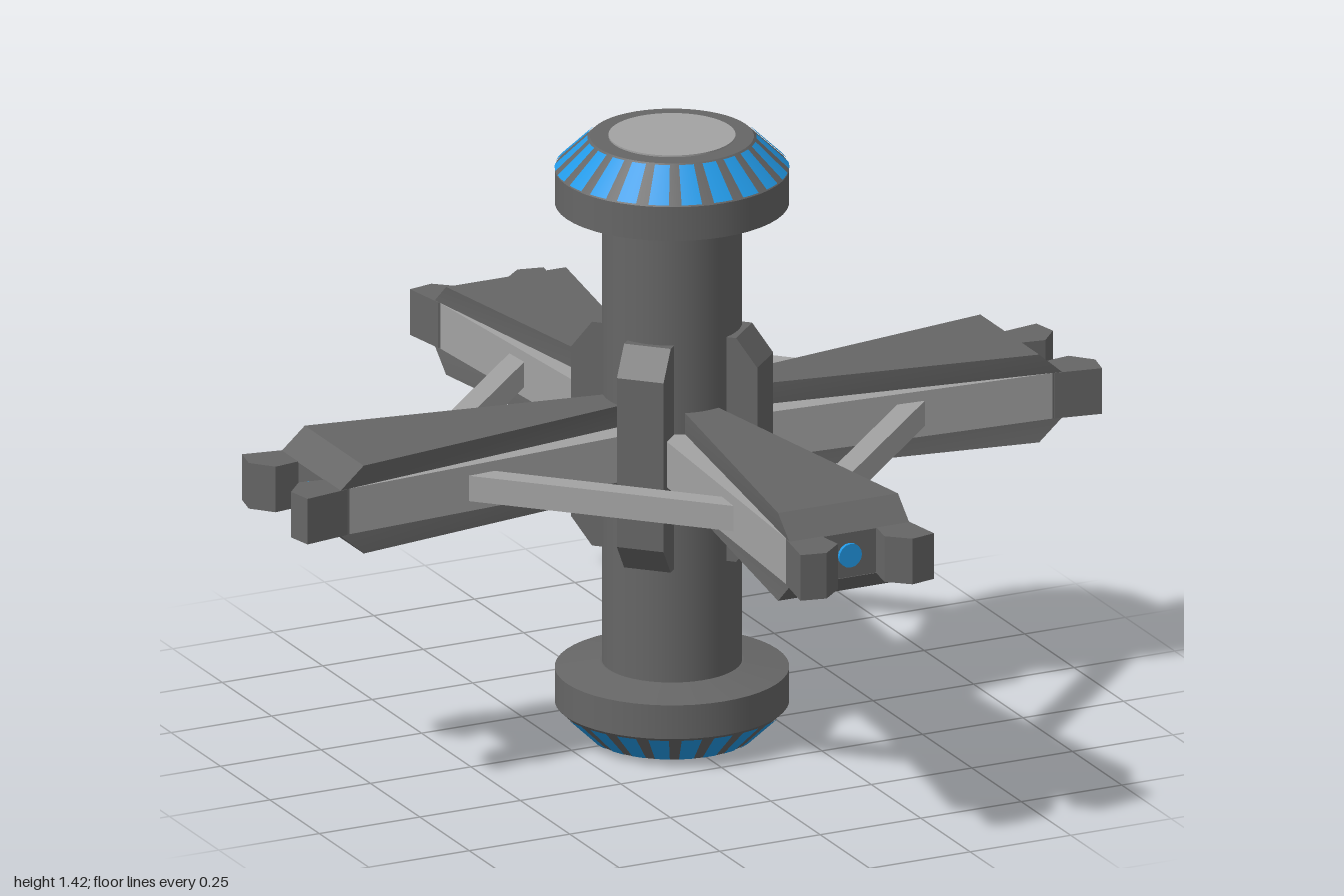
import * as THREE from 'three';

export function createModel() {
  const mat = (name, color) => {
    const m = new THREE.MeshStandardMaterial({ color });
    m.name = name;
    return m;
  };
  const dark = mat('dark grey', 0x666666);
  const light = mat('light grey', 0xa3a3a3);
  const blue = mat('blue', 0x2299e6);

  const model = new THREE.Group();
  model.name = 'station';
  const core = new THREE.Group();
  core.name = 'core';
  core.position.y = 0.71;
  model.add(core);

  const add = (parent, name, geo, material) => {
    const m = new THREE.Mesh(geo, material);
    m.name = name;
    parent.add(m);
    return m;
  };
  // Cylinder or cone section between two heights
  const section = (r0, y0, r1, y1, open = false, start = 0, sweep = Math.PI * 2, seg = 48) =>
    new THREE.CylinderGeometry(r1, r0, y1 - y0, seg, 1, open, start, sweep).translate(0, (y0 + y1) / 2, 0);
  // Plan outline of (sideways, outward) points, extruded to a height centred on y = 0
  const slab = (points, height) => {
    const shape = new THREE.Shape(points.map(([x, r]) => new THREE.Vector2(x, r)));
    return new THREE.ExtrudeGeometry(shape, { depth: height, bevelEnabled: false })
      .rotateX(Math.PI / 2).translate(0, height / 2, 0);
  };

  add(core, 'shaft', section(0.157, -0.6, 0.157, 0.6), dark);

  // Matching heads at both ends of the shaft
  for (const end of [0, 1]) {
    const head = new THREE.Group();
    head.name = end ? 'lowerHead' : 'upperHead';
    head.rotation.x = end * Math.PI;
    core.add(head);
    add(head, 'headUnderside', section(0.16, 0.533, 0.262, 0.55), dark);
    add(head, 'headRim', section(0.262, 0.55, 0.262, 0.63), dark);
    add(head, 'headCone', section(0.262, 0.63, 0.183, 0.706), dark);
    add(head, 'headPlate', section(0.142, 0.705, 0.142, 0.71), light);
    const count = 22, step = (Math.PI * 2) / count;
    for (let i = 0; i < count; i++) {
      add(head, 'window', section(0.262, 0.634, 0.189, 0.704, true, (i - 0.31) * step, step * 0.62, 3), blue);
    }
  }

  // Tapered armour plate with a sloping outer end
  const armour = () => {
    const geo = new THREE.BoxGeometry(1, 1, 1);
    const p = geo.attributes.position;
    for (let i = 0; i < p.count; i++) {
      const outer = p.getZ(i) > 0, top = p.getY(i) > 0;
      p.setXYZ(i, Math.sign(p.getX(i)) * (outer ? 0.149 : 0.04), top ? 0.104 : 0.053,
        outer ? (top ? 0.84 : 0.898) : 0.14);
    }
    geo.computeVertexNormals();
    return geo;
  };

  for (let k = 0; k < 4; k++) {
    // Arm reaching outward along its own z axis
    const arm = new THREE.Group();
    arm.name = 'arm';
    arm.rotation.y = (k * Math.PI) / 2;
    core.add(arm);
    add(arm, 'armBody', slab([[-0.095, 0.1], [0.095, 0.1], [0.146, 0.875], [-0.146, 0.875]], 0.108), light);
    add(arm, 'armEnd', new THREE.BoxGeometry(0.292, 0.108, 0.022).translate(0, 0, 0.885), dark);
    for (const flip of [0, 1]) {
      add(arm, flip ? 'lowerArmour' : 'upperArmour', armour(), dark).rotation.z = flip * Math.PI;
    }

    // Docking prongs and the light between them
    for (const s of [-1, 1]) {
      const outline = [[0.07, 0.88], [0.148, 0.88], [0.166, 0.988], [0.107, 1.0], [0.058, 0.957]];
      add(arm, 'prong', slab(outline.map(([x, r]) => [x * s, r]), 0.108), dark);
    }
    add(arm, 'lamp', new THREE.CylinderGeometry(0.028, 0.028, 0.009, 16).rotateX(Math.PI / 2)
      .translate(0, 0, 0.9), blue);

    // Rib and brace on the diagonal between two arms
    const corner = new THREE.Group();
    corner.name = 'corner';
    corner.rotation.y = ((k + 0.5) * Math.PI) / 2;
    core.add(corner);
    const profile = new THREE.Shape([[0.1, -0.265], [0.17, -0.265], [0.22, -0.2], [0.22, 0.2], [0.17, 0.265],
      [0.1, 0.265]].map(([r, y]) => new THREE.Vector2(r, y)));
    add(corner, 'rib', new THREE.ExtrudeGeometry(profile, { depth: 0.11, bevelEnabled: false })
      .translate(0, 0, -0.055).rotateY(-Math.PI / 2), dark);
    add(corner, 'brace', new THREE.BoxGeometry(0.65, 0.06, 0.05).translate(0, 0, 0.465), light);
  }
  return model;
}
